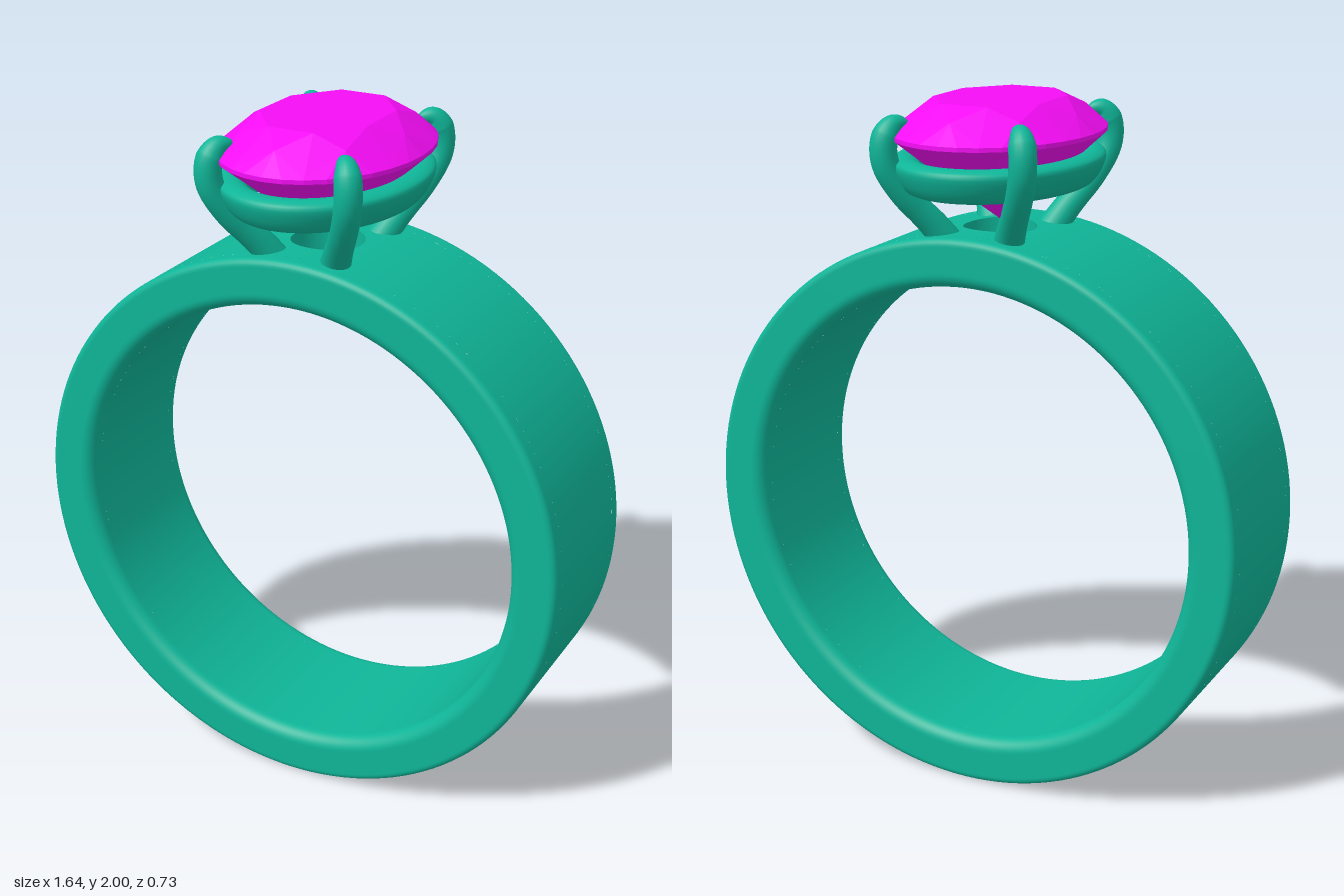
import * as THREE from 'three';
import { ConvexGeometry } from 'three/addons/geometries/ConvexGeometry.js';
import { ParametricGeometry } from 'three/addons/geometries/ParametricGeometry.js';

const metal = new THREE.MeshStandardMaterial({ color: 0x0fb598 });
const gem = new THREE.MeshStandardMaterial({ color: 0xf50df5, flatShading: true });

const R = 0.82, r = 0.68, CY = 0.82; // band outer and inner radius, centre height
const FLAT = 0.19, HALF = 0.245;     // half width of the flat faces and of the band
const GAP = 0.24, HOLE = 0.105;      // half angle of the pierced top patch, hole radius
const TAU = Math.PI * 2;

function surface(name, fn, nu, nv) {
  const mesh = new THREE.Mesh(new ParametricGeometry(fn, nu, nv), metal);
  mesh.name = name;
  return mesh;
}

// Point on the band at angle a from the top
const onBand = (radius, a, z, out) =>
  out.set(radius * Math.sin(a), CY + radius * Math.cos(a), z);

function createBand() {
  const band = new THREE.Group();
  band.name = 'band';

  // Side walls with a small outer fillet and a softer inner one
  const side = new THREE.Path();
  side.moveTo(FLAT, R);
  side.lineTo(HALF - 0.02, R);
  side.absarc(HALF - 0.02, R - 0.02, 0.02, Math.PI / 2, 0, true);
  side.lineTo(HALF, r + 0.04);
  side.absarc(HALF - 0.04, r + 0.04, 0.04, 0, -Math.PI / 2, true);
  side.lineTo(FLAT, r);
  for (const s of [1, -1]) {
    band.add(surface(s > 0 ? 'frontWall' : 'backWall', (u, v, out) => {
      const p = side.getPoint(s > 0 ? u : 1 - u);
      onBand(p.y, v * TAU, s * p.x, out);
    }, 36, 144));
  }

  // Outer and inner faces, open at the top
  for (const [name, radius, s] of [['outerFace', R, 1], ['innerFace', r, -1]]) {
    band.add(surface(name, (u, v, out) =>
      onBand(radius, GAP + v * (TAU - 2 * GAP), s * FLAT * (2 * u - 1), out), 2, 132));
  }

  // Top patches that run from the round hole to a rectangular border
  for (const [name, radius, s] of [['outerTop', R, 1], ['innerTop', r, -1]]) {
    band.add(surface(name, (u, v, out) => {
      const c = Math.cos(u * TAU), d = Math.sin(u * TAU);
      const m = Math.max(Math.abs(c), Math.abs(d));
      const t = s > 0 ? v : 1 - v;
      const a = THREE.MathUtils.lerp(Math.asin(HOLE * c / radius), GAP * c / m, t);
      onBand(radius, a, THREE.MathUtils.lerp(HOLE * d, FLAT * d / m, t), out);
    }, 64, 8));
  }

  // Wall of the hole under the stone
  band.add(surface('holeWall', (u, v, out) => {
    const x = HOLE * Math.cos(u * TAU), z = HOLE * Math.sin(u * TAU);
    const low = Math.sqrt(r * r - x * x), high = Math.sqrt(R * R - x * x);
    out.set(x, CY + THREE.MathUtils.lerp(low, high, v), z);
  }, 64, 2));
  return band;
}

// Oval rail: a rounded, outward leaning section swept round an ellipse
function createRail() {
  const section = new THREE.CatmullRomCurve3([
    [-0.055, 1.848], [-0.018, 1.848], [0, 1.835], [-0.012, 1.79], [-0.035, 1.76],
    [-0.055, 1.754], [-0.085, 1.757], [-0.092, 1.78], [-0.08, 1.83],
  ].map(([o, y]) => new THREE.Vector3(o, y, 0)), true);
  return surface('rail', (u, v, out) => {
    const p = section.getPoint(u), a = v * TAU;
    out.set((0.28 + p.x) * Math.sin(a), p.y, (0.365 + p.x) * Math.cos(a));
  }, 36, 96);
}

// Claw prong: tapering tube that bends inward over the stone
function createProng(sx, sz) {
  const path = new THREE.CatmullRomCurve3([
    [0.085, 1.59, 0.13], [0.12, 1.66, 0.172], [0.175, 1.755, 0.243],
    [0.207, 1.84, 0.282], [0.208, 1.905, 0.283], [0.192, 1.943, 0.262], [0.163, 1.947, 0.23],
  ].map(([x, y, z]) => new THREE.Vector3(sx * x, y, sz * z)));
  const across = new THREE.Vector3(-sz * 0.8, 0, sx * 0.6);
  return surface('prong', (u, v, out) => {
    const n = path.getTangent(v).cross(across).normalize();
    const taper = Math.sqrt(Math.min(1, (1.002 - v) / 0.3));
    const radius = (0.038 + 0.008 * Math.max(0, 1 - v * 4)) * taper;
    out.copy(path.getPoint(v))
      .addScaledVector(across, radius * Math.cos(u * TAU))
      .addScaledVector(n, radius * Math.sin(u * TAU));
  }, 20, 40);
}

// Faceted oval stone
function createStone() {
  const points = [new THREE.Vector3(0, 1.655, 0)];
  const ring = (count, scale, y, turn) => {
    for (let i = 0; i < count; i++) {
      const a = (i + turn) / count * TAU;
      points.push(new THREE.Vector3(0.285 * scale * Math.cos(a), y, 0.367 * scale * Math.sin(a)));
    }
  };
  ring(8, 0.62, 2, 0.5);    // table
  ring(8, 0.81, 1.966, 0);  // crown
  ring(32, 1, 1.914, 0);    // girdle
  ring(32, 1, 1.902, 0);
  ring(8, 0.52, 1.775, 0.5); // pavilion
  const stone = new THREE.Mesh(new ConvexGeometry(points), gem);
  stone.name = 'stone';
  return stone;
}

export function createModel() {
  const model = new THREE.Group();
  model.name = 'ring';
  const setting = new THREE.Group();
  setting.name = 'setting';
  setting.add(createRail());
  for (const sx of [1, -1]) for (const sz of [1, -1]) setting.add(createProng(sx, sz));
  model.add(createBand(), setting, createStone());
  return model;
}
